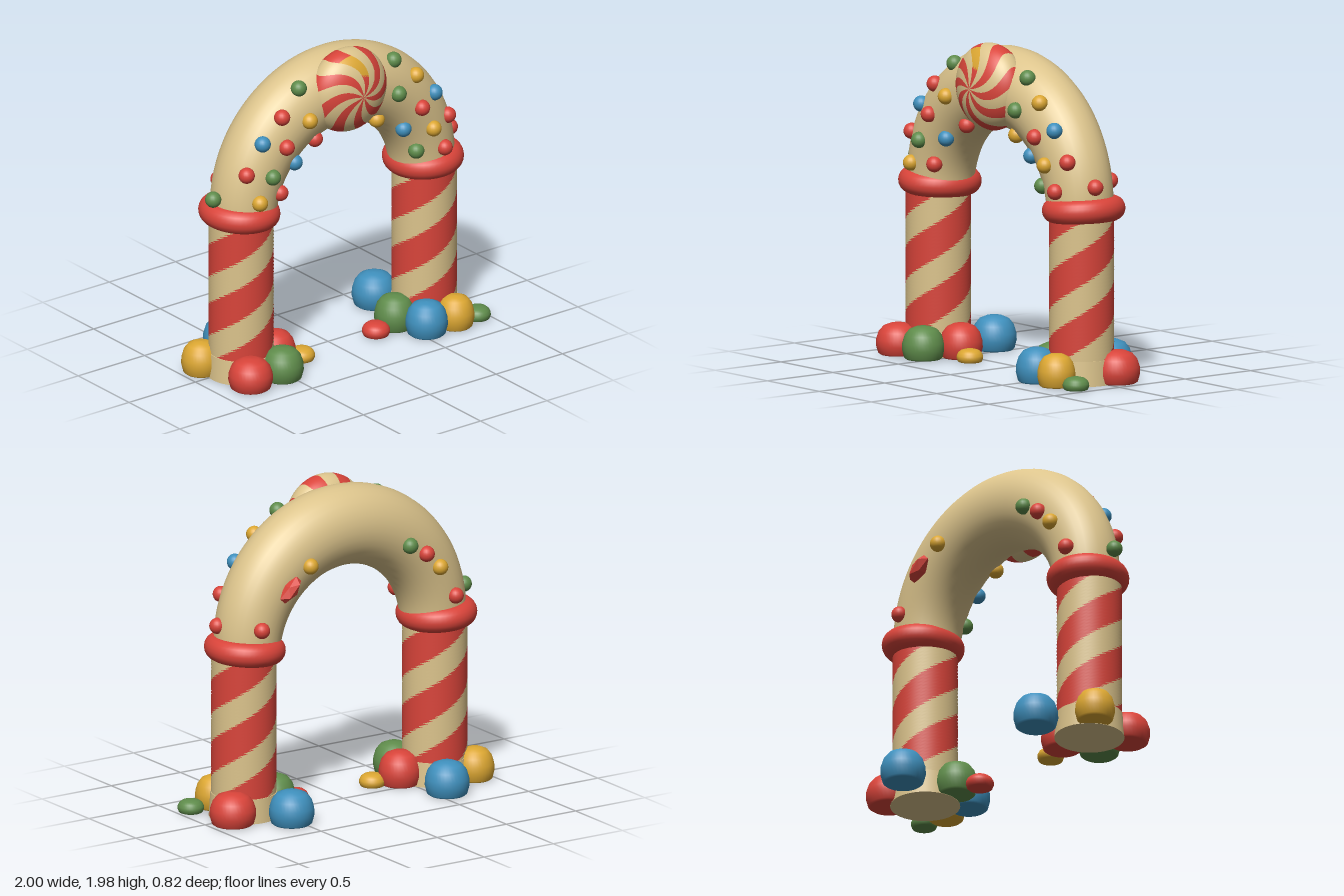
import * as THREE from 'three';
import { mergeVertices } from 'three/addons/utils/BufferGeometryUtils.js';

const material = (name, color) => {
  const m = new THREE.MeshStandardMaterial({ color });
  m.name = name;
  return m;
};

// Turn each vertex (and its normal) about y by an angle depending on height
function twist(geo, angleAt) {
  const pos = geo.attributes.position, nor = geo.attributes.normal;
  const v = new THREE.Vector3(), up = new THREE.Vector3(0, 1, 0);
  for (let i = 0; i < pos.count; i++) {
    const angle = angleAt(pos.getY(i));
    for (const attr of [pos, nor]) {
      v.fromBufferAttribute(attr, i).applyAxisAngle(up, angle);
      attr.setXYZ(i, v.x, v.y, v.z);
    }
  }
}

// Sort triangles into material groups by their place on the uv grid
function paint(geo, count, pick) {
  const buckets = Array.from({ length: count }, () => []);
  const idx = geo.index.array, uv = geo.attributes.uv;
  for (let i = 0; i < idx.length; i += 3) {
    const tri = [idx[i], idx[i + 1], idx[i + 2]];
    const u = tri.reduce((s, k) => s + uv.getX(k), 0) / 3;
    const v = tri.reduce((s, k) => s + uv.getY(k), 0) / 3;
    buckets[pick(u, v)].push(...tri);
  }
  geo.setIndex(buckets.flat());
  geo.clearGroups();
  let start = 0;
  buckets.forEach((b, m) => { geo.addGroup(start, b.length, m); start += b.length; });
}

export function createModel() {
  const model = new THREE.Group();
  model.name = 'candyArch';
  const cream = material('cream', 0xdcc48c);
  const red = material('red', 0xd9443a);
  const yellow = material('yellow', 0xdca732);
  const green = material('green', 0x5f8c4b);
  const blue = material('blue', 0x3f90bd);
  const Z = 0.045;

  const add = (name, geo, mat, x, y, z) => {
    const mesh = new THREE.Mesh(geo, mat);
    mesh.name = name;
    mesh.position.set(x, y, z);
    model.add(mesh);
    return mesh;
  };

  // Pillars with two red stripes winding upward
  const pillarGeo = new THREE.CylinderGeometry(0.196, 0.196, 1.05, 40, 48, true);
  pillarGeo.translate(0, 0.535, 0);
  twist(pillarGeo, y => (2 * Math.PI * (y - 0.81)) / 0.77);
  paint(pillarGeo, 2, u => {
    const f = (u * 2) % 1;
    return f > 0.225 && f < 0.775 ? 1 : 0;
  });
  const footGeo = new THREE.CylinderGeometry(0.2, 0.21, 0.15, 40);
  const collarGeo = new THREE.TorusGeometry(0.172, 0.068, 20, 48).rotateX(Math.PI / 2);
  for (const side of [-1, 1]) {
    add('pillar', pillarGeo, [cream, red], side * 0.69, 0, Z);
    add('pillarFoot', footGeo, cream, side * 0.69, 0.085, Z);
    const collar = add('collar', collarGeo, red, side * 0.692, 1.055, 0.03);
    collar.rotation.z = side * 0.06;
    collar.scale.set(1, 1.08, 1.07);
  }

  // Arch: half ring that thickens toward the crown
  const R = 0.67, r = 0.2, archY = 1.04;
  const radial = s => r * (1 + 0.23 * s);
  const depth = s => r * (1 + 0.11 * s);
  let archGeo = new THREE.TorusGeometry(R, r, 32, 72, Math.PI);
  const p = archGeo.attributes.position;
  for (let i = 0; i < p.count; i++) {
    const d = Math.hypot(p.getX(i), p.getY(i));
    const s = Math.max(0, p.getY(i) / d);
    const k = (R + ((d - R) * radial(s)) / r) / d;
    p.setXYZ(i, p.getX(i) * k, p.getY(i) * k, (p.getZ(i) * depth(s)) / r);
  }
  archGeo.deleteAttribute('uv');
  archGeo.deleteAttribute('normal');
  archGeo = mergeVertices(archGeo);
  archGeo.computeVertexNormals();
  add('arch', archGeo, cream, 0, archY, 0.04);

  // Swirled round candy on the crown, with one partly yellow stripe
  const candyGeo = new THREE.SphereGeometry(1, 64, 40);
  twist(candyGeo, y => -0.8 * Math.max(y, 0) ** 2);
  paint(candyGeo, 3, (u, v) => {
    const cell = Math.floor(u * 64);
    if (cell % 8 < 2 || cell % 8 > 5) return 0;
    return cell >= 50 && cell <= 53 && v > 0.62 && v < 0.84 ? 2 : 1;
  });
  candyGeo.rotateX(Math.PI / 2);
  add('roundCandy', candyGeo, [cream, red, yellow], 0, 1.725, 0.19).scale.set(0.268, 0.265, 0.165);

  // Small sweets pressed into the arch: colour, x, y
  const sweetGeo = new THREE.SphereGeometry(0.049, 20, 14);
  const placeSweet = (mat, x, y, face) => {
    const d = Math.hypot(x, y - archY), s = (y - archY) / d;
    const off = Math.min(1, Math.abs(d - R) / radial(s));
    const z = 0.04 + face * (depth(s) * Math.sqrt(1 - off * off) + 0.005);
    return add('sweet', sweetGeo, mat, x, y, z);
  };
  const frontSweets = [
    [green, -0.36, 1.82], [red, -0.51, 1.68], [yellow, -0.34, 1.63], [blue, -0.65, 1.54],
    [red, -0.51, 1.5], [red, -0.76, 1.36], [green, -0.61, 1.33], [blue, -0.41, 1.36],
    [red, -0.24, 1.46], [green, -0.9, 1.19], [yellow, -0.7, 1.18], [red, -0.52, 1.19],
    [green, 0.35, 1.82], [green, 0.33, 1.63], [yellow, 0.5, 1.69], [blue, 0.64, 1.54],
    [red, 0.51, 1.49], [blue, 0.41, 1.36], [yellow, 0.23, 1.46], [red, 0.75, 1.36],
    [yellow, 0.6, 1.33], [green, 0.51, 1.19], [red, 0.69, 1.18], [red, 0.86, 1.21],
  ];
  const backSweets = [
    [green, -0.36, 1.57], [red, -0.48, 1.5], [yellow, -0.58, 1.4], [red, -0.7, 1.2],
    [yellow, 0.36, 1.56], [red, 0.7, 1.21],
  ];
  for (const [mat, x, y] of frontSweets) placeSweet(mat, x, y, 1);
  for (const [mat, x, y] of backSweets) placeSweet(mat, x, y, -1);

  // Crumpled sweet on the back
  const crumpled = add('crumpledSweet', new THREE.IcosahedronGeometry(1, 0), red, 0.51, 1.44, -0.19);
  crumpled.scale.set(0.045, 0.1, 0.055);
  crumpled.rotation.z = 0.75;

  // Gumdrops around the pillar feet: colour, x, z, radius, height
  const profile = [[0, 0], [0.8, 0], [0.9, 0.05], [1, 0.3], [0.98, 0.5], [0.87, 0.73], [0.66, 0.9], [0.35, 0.985], [0, 1]];
  const gumdropGeo = new THREE.LatheGeometry(profile.map(([x, y]) => new THREE.Vector2(x, y)), 36);
  const gumdrops = [
    [yellow, -0.88, -0.1, 0.12, 0.2], [red, -0.79, 0.27, 0.135, 0.19], [green, -0.55, 0.27, 0.128, 0.2],
    [red, -0.45, 0.06, 0.13, 0.21], [blue, -0.56, -0.28, 0.135, 0.21], [yellow, -0.29, 0.12, 0.08, 0.08],
    [red, 0.285, 0.1, 0.085, 0.085], [green, 0.45, 0.07, 0.125, 0.21], [blue, 0.54, 0.265, 0.128, 0.21],
    [yellow, 0.745, 0.28, 0.115, 0.2], [green, 0.92, 0.27, 0.08, 0.08], [red, 0.86, -0.09, 0.14, 0.2],
    [blue, 0.56, -0.275, 0.137, 0.21],
  ];
  for (const [mat, x, z, radius, height] of gumdrops) {
    add('gumdrop', gumdropGeo, mat, x, 0.012, z).scale.set(radius, height, radius);
  }
  return model;
}
